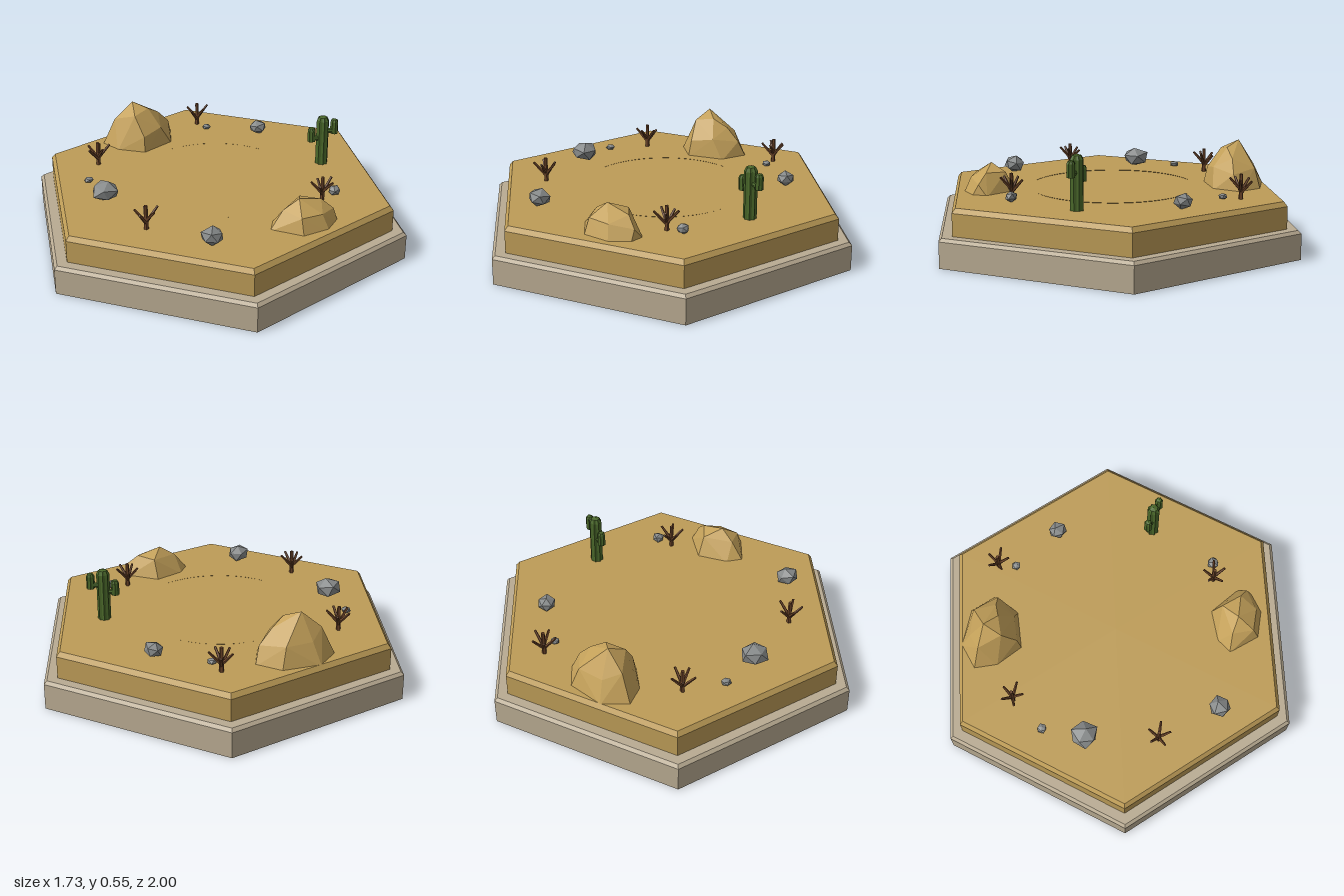
import * as THREE from 'three';
import { ConvexGeometry } from 'three/addons/geometries/ConvexGeometry.js';

const GROUND = 0.28;

function material(name, color) {
  const m = new THREE.MeshStandardMaterial({ color, flatShading: true });
  m.name = name;
  return m;
}

export function createModel() {
  const root = new THREE.Group();
  root.name = 'desertTile';
  const stone = material('plinth stone', 0xb9ab92);
  const sand = material('sand', 0xbd9c57);
  const sandstone = material('sandstone', 0xc4a15a);
  const grey = material('grey rock', 0x868989);
  const wood = material('dry wood', 0x6b4429);
  const green = material('cactus green', 0x4a682a);

  function add(parent, name, geometry, mat) {
    const mesh = new THREE.Mesh(geometry, mat);
    mesh.name = name;
    parent.add(mesh);
    return mesh;
  }
  const lathe = (profile, sides) =>
    new THREE.LatheGeometry(profile.map(([r, y]) => new THREE.Vector2(r, y)), sides);

  // Tapered stick between two points
  function stick(parent, name, from, to, r0, r1, sides, mat) {
    const a = new THREE.Vector3(...from), d = new THREE.Vector3(...to).sub(a);
    const mesh = add(parent, name, new THREE.CylinderGeometry(r1, r0, d.length(), sides), mat);
    mesh.quaternion.setFromUnitVectors(new THREE.Vector3(0, 1, 0), d.clone().normalize());
    mesh.position.copy(a).addScaledVector(d, 0.5);
  }

  // Hexagonal bevelled slabs, a corner pointing to +z
  add(root, 'plinth', lathe([[0, 0], [1, 0], [1, 0.13], [0.983, 0.145], [0, 0.145]], 6), stone);
  add(root, 'sandSlab', lathe([[0.9, 0.14], [0.927, 0.145], [0.927, 0.257], [0.907, GROUND], [0, GROUND]], 6), sand);

  // Faint raised circle in the sand
  add(root, 'sandRing', lathe([[0.417, 0.279], [0.424, 0.283], [0.431, 0.279]], 48), sand);

  // Faceted sandstone mounds: hull of a base outline, a shoulder and a peak
  function mound(name, points) {
    add(root, name, new ConvexGeometry(points.map(p => new THREE.Vector3(...p))), sandstone);
  }
  mound('tallMound', [
    [-0.44, 0.27, -0.66], [-0.25, 0.27, -0.71], [-0.13, 0.27, -0.64], [-0.15, 0.27, -0.49],
    [-0.31, 0.27, -0.38], [-0.45, 0.27, -0.445], [-0.52, 0.27, -0.54],
    [-0.45, 0.42, -0.54], [-0.40, 0.38, -0.62], [-0.27, 0.38, -0.67], [-0.15, 0.36, -0.60],
    [-0.21, 0.43, -0.57], [-0.31, 0.36, -0.40], [-0.35, 0.46, -0.46], [-0.21, 0.38, -0.47],
    [-0.27, 0.475, -0.52], [-0.35, 0.507, -0.555],
  ]);
  mound('lowMound', [
    [0.15, 0.27, 0.575], [0.18, 0.27, 0.49], [0.31, 0.27, 0.39], [0.48, 0.27, 0.46],
    [0.495, 0.27, 0.54], [0.43, 0.27, 0.625], [0.295, 0.27, 0.67],
    [0.22, 0.365, 0.55], [0.29, 0.355, 0.635], [0.40, 0.35, 0.60], [0.48, 0.33, 0.51],
    [0.42, 0.38, 0.50], [0.33, 0.375, 0.44], [0.30, 0.413, 0.54],
  ]);

  // Small grey rocks: x, z, radius, height
  [
    [-0.58, 0.125, 0.074, 0.105], [-0.14, 0.655, 0.062, 0.09], [0.34, -0.52, 0.052, 0.075],
    [0.55, 0.287, 0.033, 0.055], [0.07, -0.62, 0.024, 0.034], [-0.64, -0.083, 0.025, 0.034],
  ].forEach(([x, z, r, h], i) => {
    const g = new THREE.IcosahedronGeometry(1, 0);
    const p = g.attributes.position, v = new THREE.Vector3();
    for (let k = 0; k < p.count; k++) {
      v.fromBufferAttribute(p, k);
      v.multiplyScalar(0.97 + 0.09 * Math.sin(7 * v.x + 11 * v.y + 5 * v.z + i));
      p.setXYZ(k, v.x, v.y, v.z);
    }
    g.rotateZ(0.3).rotateY(i * 1.3).scale(r, h / 2, r);
    add(root, 'rock', g, grey).position.set(x, GROUND + h / 2 - 0.003, z);
  });

  // Dry shrubs: a short trunk with five splayed twigs
  [[0.03, -0.70, 0.1], [-0.57, -0.285, 0.25], [0.475, 0.325, -0.2], [-0.42, 0.455, 0]].forEach(([x, z, turn]) => {
    const shrub = new THREE.Group();
    shrub.name = 'dryShrub';
    shrub.position.set(x, GROUND, z);
    root.add(shrub);
    stick(shrub, 'trunk', [0, -0.005, 0], [0, 0.124, 0], 0.012, 0.009, 5, wood);
    for (let i = 0; i < 5; i++) {
      const a = turn - Math.PI / 2 + i * Math.PI * 0.4;
      const y = 0.03 + 0.007 * (i % 3), reach = 0.056 + 0.006 * (i % 2);
      stick(shrub, 'twig', [0, y, 0],
        [Math.cos(a) * reach, y + 0.062 + 0.008 * (i % 2), Math.sin(a) * reach], 0.009, 0.006, 5, wood);
    }
  });

  // Ribbed cactus column with a tapered cap
  function column(parent, name, x, y0, y1, r) {
    const g = lathe([[0, y0], [r, y0], [r, y1 - r * 0.8], [r * 0.7, y1 - r * 0.2], [0, y1]], 16);
    const p = g.attributes.position;
    for (let k = 0; k < p.count; k++) {
      const rib = Math.floor(k / 5) % 2 ? 0.82 : 1;
      p.setX(k, p.getX(k) * rib);
      p.setZ(k, p.getZ(k) * rib);
    }
    add(parent, name, g, green).position.x = x;
  }
  const cactus = new THREE.Group();
  cactus.name = 'cactus';
  cactus.position.set(0.585, GROUND, -0.085);
  root.add(cactus);
  column(cactus, 'cactusTrunk', 0, -0.005, 0.267, 0.033);
  [[-1, 0.058, 0.128, 0.207], [1, 0.062, 0.165, 0.246]].forEach(([side, reach, y0, y1]) => {
    stick(cactus, 'cactusElbow', [0, y0 + 0.016, 0], [side * reach, y0 + 0.016, 0], 0.014, 0.014, 8, green);
    column(cactus, 'cactusArm', side * reach, y0, y1, 0.021);
  });

  return root;
}
